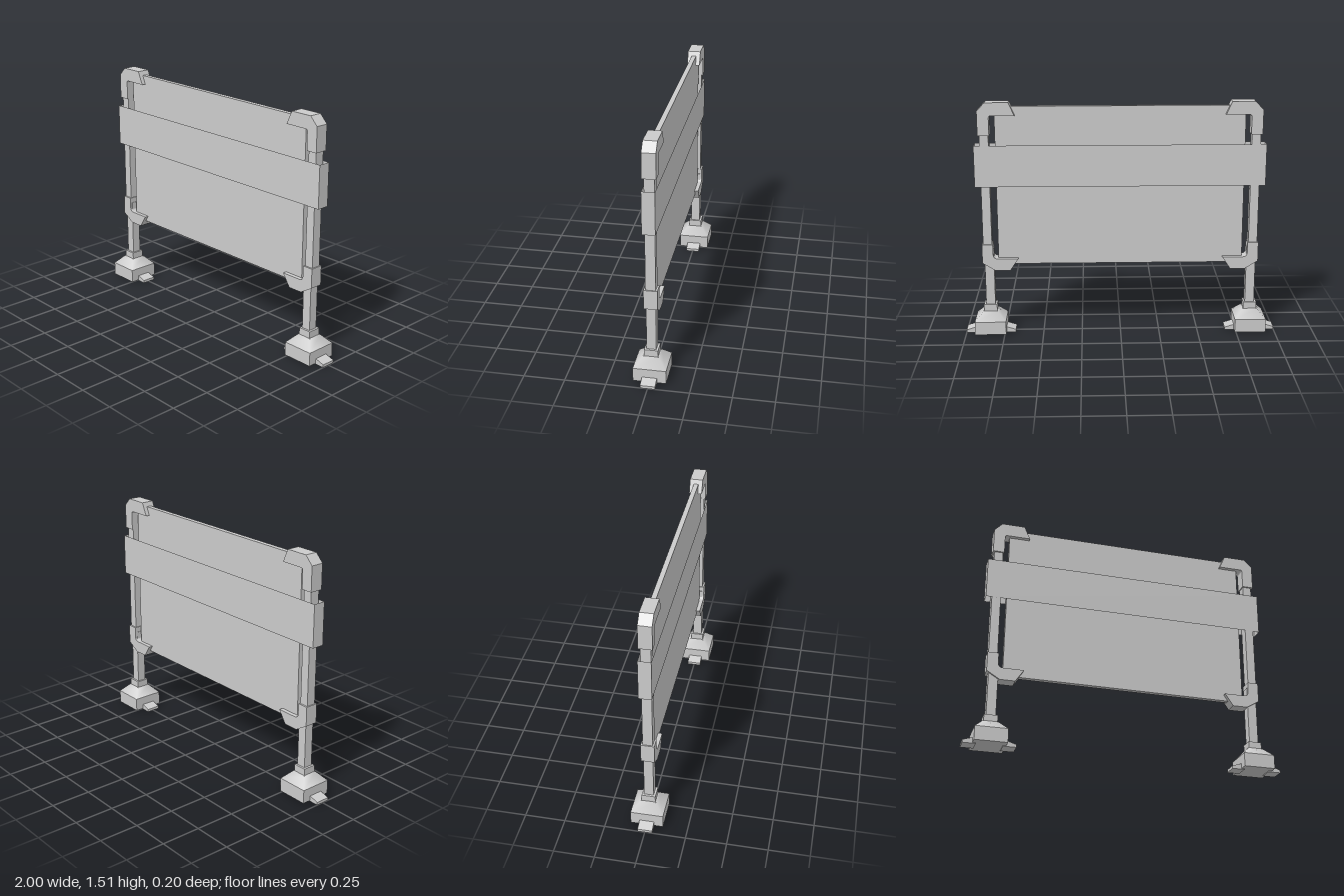
import * as THREE from 'three';

export function createModel() {
  const model = new THREE.Group();
  model.name = 'barrierSign';
  const grey = new THREE.MeshStandardMaterial({ color: 0xcccccc });
  const thin = new THREE.MeshStandardMaterial({ color: 0xcccccc, side: THREE.DoubleSide });

  const add = (parent, name, geometry, x = 0, y = 0, z = 0, material = grey) => {
    const mesh = new THREE.Mesh(geometry, material);
    mesh.name = name;
    mesh.position.set(x, y, z);
    parent.add(mesh);
    return mesh;
  };

  // Box given by its x and y limits, centred on z
  const slab = (parent, name, x0, x1, y0, y1, depth) =>
    add(parent, name, new THREE.BoxGeometry(x1 - x0, y1 - y0, depth), (x0 + x1) / 2, (y0 + y1) / 2);

  // Side profile in x and y, extruded symmetrically about z = 0
  const profile = (shape, depth) =>
    new THREE.ExtrudeGeometry(shape, { depth, bevelEnabled: false, curveSegments: 4 }).translate(0, 0, -depth / 2);

  // Board between the posts
  slab(model, 'board', -0.78, 0.78, 0.46, 1.48, 0.03);

  // Open sleeve wrapped round the board and posts
  const sleeve = new THREE.Group();
  sleeve.name = 'sleeve';
  for (const s of [1, -1]) {
    const face = add(sleeve, 'sleeveFace', new THREE.PlaneGeometry(1.826, 0.265), 0, 1.105, s * 0.039, thin);
    face.rotation.y = s > 0 ? 0 : Math.PI;
    const end = add(sleeve, 'sleeveEnd', new THREE.PlaneGeometry(0.078, 0.265), s * 0.913, 1.105, 0, thin);
    end.rotation.y = s * Math.PI / 2;
  }
  model.add(sleeve);

  // Corner clamps, drawn for the +x side
  const upper = new THREE.Shape();
  upper.moveTo(0.885, 1.30);
  upper.lineTo(0.885, 1.455);
  upper.lineTo(0.835, 1.507);
  upper.lineTo(0.69, 1.507);
  upper.lineTo(0.653, 1.425);
  upper.lineTo(0.80, 1.425);
  upper.quadraticCurveTo(0.813, 1.425, 0.813, 1.412);
  upper.lineTo(0.813, 1.30);

  const lower = new THREE.Shape();
  lower.moveTo(0.882, 0.595);
  lower.lineTo(0.813, 0.595);
  lower.lineTo(0.813, 0.53);
  lower.quadraticCurveTo(0.813, 0.50, 0.783, 0.50);
  lower.lineTo(0.653, 0.50);
  lower.lineTo(0.705, 0.422);
  lower.lineTo(0.80, 0.422);
  lower.lineTo(0.882, 0.472);

  // Tapered ground prong, pointing along +x from the foot centre
  const prong = new THREE.Shape();
  prong.moveTo(0.08, 0);
  prong.lineTo(0.16, 0);
  prong.lineTo(0.16, 0.018);
  prong.lineTo(0.102, 0.036);
  prong.lineTo(0.08, 0.036);

  // One leg assembly per side, the second turned half round
  for (const side of [1, -1]) {
    const leg = new THREE.Group();
    leg.name = side > 0 ? 'leftLeg' : 'rightLeg';
    leg.rotation.y = side > 0 ? 0 : Math.PI;
    model.add(leg);

    slab(leg, 'upperPost', 0.819, 0.875, 0.55, 1.35, 0.06);
    slab(leg, 'lowerPost', 0.809, 0.868, 0.17, 0.56, 0.058);
    add(leg, 'upperClamp', profile(upper, 0.082));
    add(leg, 'lowerClamp', profile(lower, 0.082));

    const foot = new THREE.Group();
    foot.name = 'foot';
    foot.position.x = 0.84;
    leg.add(foot);
    slab(foot, 'collar', -0.042, 0.042, 0.14, 0.19, 0.084);
    const slope = new THREE.CylinderGeometry(0.047 * Math.SQRT2, 0.1 * Math.SQRT2, 0.056, 4, 1, true);
    add(foot, 'slope', slope.rotateY(Math.PI / 4), 0, 0.119);
    const cap = new THREE.PlaneGeometry(0.094, 0.094).rotateX(-Math.PI / 2);
    add(foot, 'slopeTop', cap, 0, 0.147);
    slab(foot, 'base', -0.1, 0.1, 0.005, 0.091, 0.2);
    for (const turn of [0, Math.PI]) {
      add(foot, 'prong', profile(prong, 0.09)).rotation.y = turn;
    }
  }
  return model;
}
